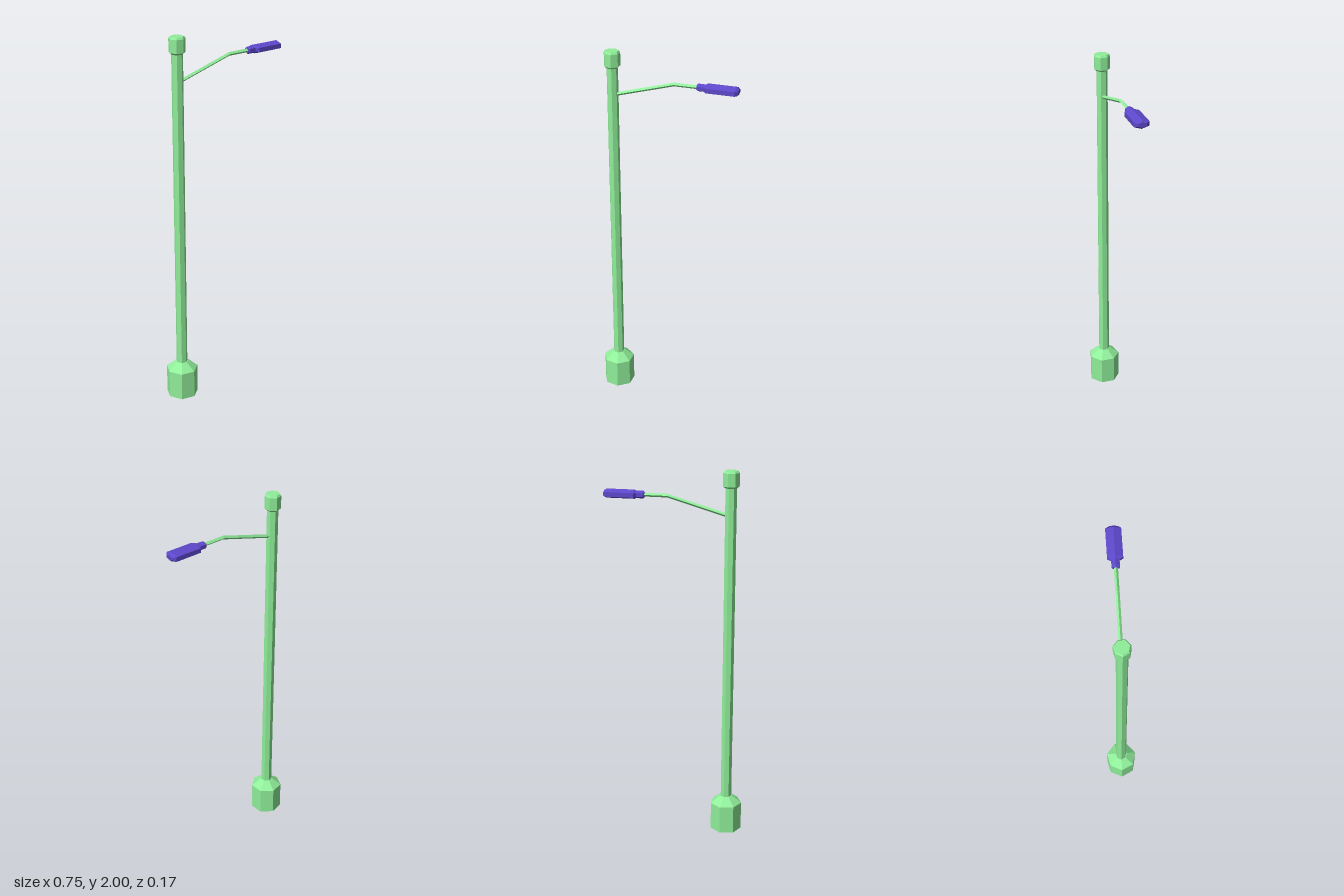
import * as THREE from 'three';

const green = new THREE.MeshStandardMaterial({ color: 0x90ee9a, flatShading: true });
const purple = new THREE.MeshStandardMaterial({ color: 0x5e48cc, flatShading: true });
const POLE_X = -0.29;
const ARM_Y = 1.86;

// Faceted solid of revolution from [radius, height] pairs
function turned(profile, sides, start) {
  const points = profile.map(([r, h]) => new THREE.Vector2(r, h));
  return new THREE.LatheGeometry(points, sides, start);
}

// Same, lying along x, a corner on top, stretched in z
function turnedAlongX(profile, sides, stretchZ) {
  return turned(profile, sides, Math.PI / 2).rotateZ(-Math.PI / 2).scale(1, 1, stretchZ);
}

export function createModel() {
  const group = new THREE.Group();
  group.name = 'streetLamp';

  function add(name, geometry, material, x = 0, y = 0) {
    const mesh = new THREE.Mesh(geometry, material);
    mesh.name = name;
    mesh.position.set(x, y, 0);
    group.add(mesh);
    return mesh;
  }

  // Seven-sided post, one corner pointing to -x
  const post = {
    base: [[0, 0], [0.086, 0], [0.086, 0.155], [0.034, 0.195], [0, 0.195]],
    pole: [[0.03, 0.19], [0.03, 1.925]],
    cap: [[0.03, 1.912], [0.043, 1.922], [0.043, 1.99], [0.036, 2], [0, 2]],
  };
  for (const [name, profile] of Object.entries(post)) {
    add(name, turned(profile, 7, -Math.PI / 2), green, POLE_X);
  }

  // Thin arm rising to a bend, then level
  const bendX = 0.04;
  const arm = turnedAlongX([[0, -0.27], [0.01, -0.27], [0.01, bendX], [0.01, 0.17], [0, 0.17]], 4, 1);
  const p = arm.attributes.position;
  for (let i = 0; i < p.count; i++) {
    p.setY(i, p.getY(i) + Math.min(0, p.getX(i) - bendX) * 0.285);
  }
  arm.computeVertexNormals();
  add('arm', arm, green, 0, ARM_Y);

  // Lamp head: narrow socket and wide, flattened housing
  add('lampSocket', turnedAlongX(
    [[0, 0.16], [0.015, 0.16], [0.02, 0.167], [0.02, 0.21], [0, 0.21]], 6, 1.15), purple, 0, ARM_Y);
  add('lampHousing', turnedAlongX(
    [[0, 0.2], [0.014, 0.2], [0.024, 0.212], [0.024, 0.362], [0.014, 0.375], [0, 0.375]], 6, 1.83), purple, 0, ARM_Y);

  return group;
}
